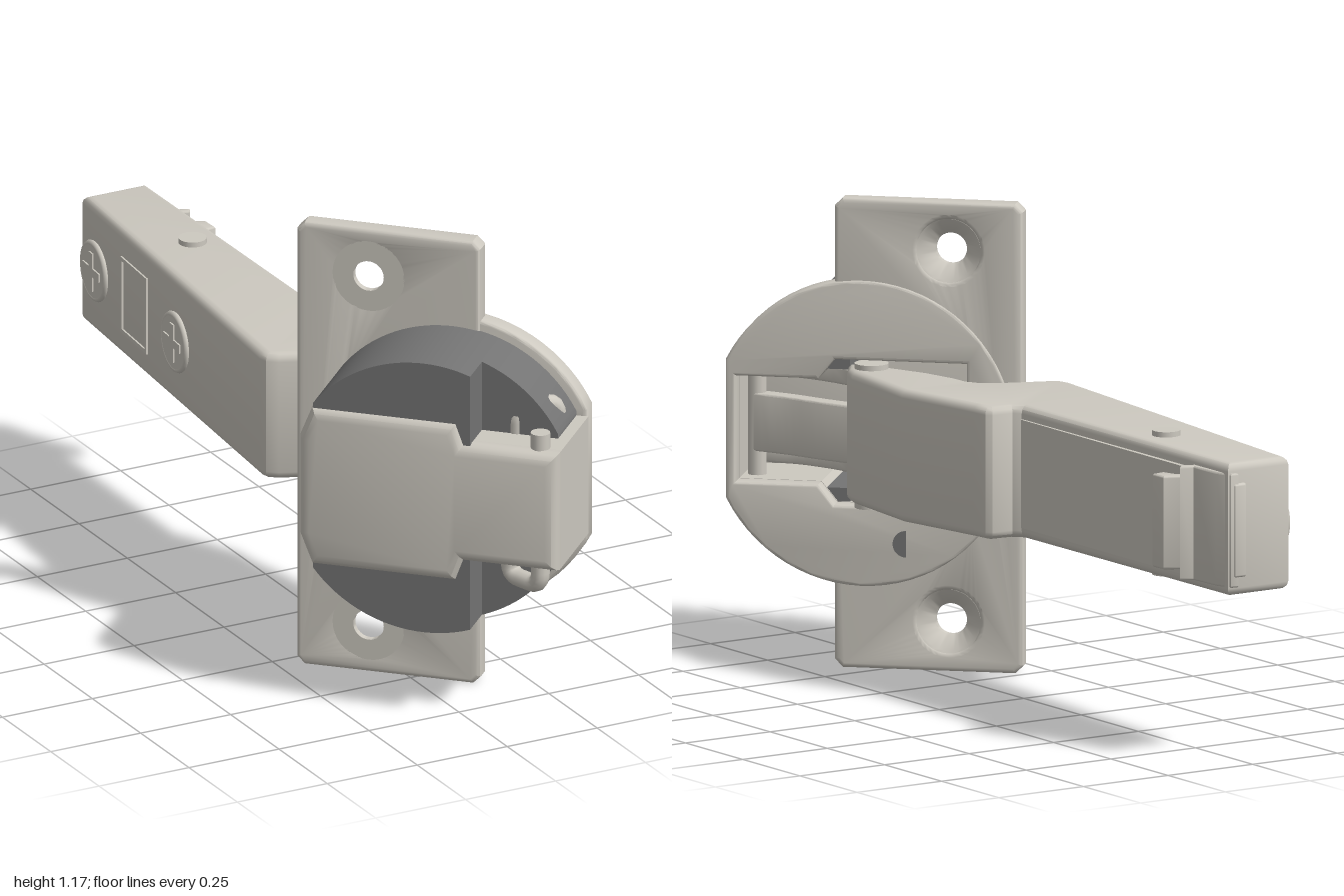
import * as THREE from 'three';
import { toCreasedNormals } from 'three/addons/utils/BufferGeometryUtils.js';

const steel = new THREE.MeshStandardMaterial({ color: 0xcdc9c0 });
const dark = new THREE.MeshStandardMaterial({ color: 0x747474 });
const MID = 0.587; // height of the mirror plane

const poly = pts => new THREE.Shape(pts.map(p => new THREE.Vector2(...p)));
// Outline given for the lower half, mirrored about the mid height
const mirrored = pts => poly([...pts, ...pts.map(([u, y]) => [u, 2 * MID - y]).reverse()]);

function add(parent, name, geometry, material = steel) {
  const mesh = new THREE.Mesh(geometry, material);
  mesh.name = name;
  parent.add(mesh);
  return mesh;
}

// Extrusion from depth a to b, with the bevel kept inside the outline
function slab(shape, a, b, bevel = 0) {
  const g = new THREE.ExtrudeGeometry(shape, {
    depth: b - a - 2 * bevel, bevelEnabled: bevel > 0, bevelThickness: bevel,
    bevelSize: bevel, bevelOffset: -bevel, bevelSegments: 3, curveSegments: 32,
  });
  g.translate(0, 0, a + bevel);
  return toCreasedNormals(g, 0.6);
}

// Extrusion along y of an outline listed as [x, z]
const upright = (pts, y0, y1, bevel) =>
  slab(poly(pts.map(([x, z]) => [x, -z])), y0, y1, bevel).rotateX(-Math.PI / 2);

function pin(parent, name, x, z, r, y0, y1) {
  const g = new THREE.CylinderGeometry(r, r, y1 - y0, 24);
  return add(parent, name, g.translate(x, (y0 + y1) / 2, z));
}

// Flat link following [x, z] points with a given thickness
function link(parent, name, pts, t, y0, y1) {
  const curve = new THREE.CatmullRomCurve3(pts.map(([x, z]) => new THREE.Vector3(x, 0, z)));
  const left = [], right = [];
  for (let i = 0; i <= 12; i++) {
    const p = curve.getPoint(i / 12), d = curve.getTangent(i / 12);
    left.push([p.x - d.z * t / 2, p.z + d.x * t / 2]);
    right.push([p.x + d.z * t / 2, p.z - d.x * t / 2]);
  }
  add(parent, name, upright([...left, ...right.reverse()], y0, y1, 0.005));
}

function wire(parent, name, pts, r) {
  const path = new THREE.CurvePath();
  const v = pts.map(p => new THREE.Vector3(...p));
  let from = v[0];
  for (let i = 1; i < v.length - 1; i++) {
    const a = v[i].clone().lerp(v[i - 1], Math.min(0.45, 0.035 / v[i].distanceTo(v[i - 1])));
    const b = v[i].clone().lerp(v[i + 1], Math.min(0.45, 0.035 / v[i].distanceTo(v[i + 1])));
    path.add(new THREE.LineCurve3(from, a));
    path.add(new THREE.QuadraticBezierCurve3(a, v[i], b));
    from = b;
  }
  path.add(new THREE.LineCurve3(from, v[v.length - 1]));
  add(parent, name, new THREE.TubeGeometry(path, 48, r, 12));
}

// Cup assembly: x runs along the plate, z is the depth of the cup
function buildCup() {
  const cup = new THREE.Group();
  cup.name = 'cupAssembly';
  cup.rotation.y = -Math.PI / 4;
  const cu = 0.46, R = 0.382, r = 0.356;
  const opening = () => mirrored([[0.2, 0.405], [0.53, 0.405], [0.57, 0.455], [0.775, 0.455]]);

  // Mounting plate with screw holes
  const plate = mirrored([[0.06, 0.02], [0.08, 0], [0.51, 0], [0.53, 0.02]]);
  plate.holes.push(opening().setPoints ? opening() : opening());
  plate.holes.pop();
  const half = poly([[0.06, 0.02], [0.08, 0], [0.51, 0], [0.53, 0.02], [0.53, 0.405],
    [0.2, 0.405], [0.2, 2 * MID - 0.405], [0.53, 2 * MID - 0.405], [0.53, 1.152],
    [0.51, 1.172], [0.08, 1.172], [0.06, 1.152]]);
  for (const y of [0.125, 1.05]) {
    half.holes.push(new THREE.Path().absarc(0.245, y, 0.078, 0, Math.PI * 2, true));
    const seat = new THREE.LatheGeometry([[0.08, 0.0], [0.074, 0.003], [0.042, 0.032], [0.039, 0.036],
      [0.039, 0.054], [0.092, 0.054]].map(p => new THREE.Vector2(...p)), 36);
    const m = add(cup, 'screwSeat', toCreasedNormals(seat.rotateX(Math.PI / 2), 0.5),
      new THREE.MeshStandardMaterial({ color: 0xcdc9c0, side: THREE.DoubleSide }));
    m.position.set(0.245, y, 0.296);
  }
  add(cup, 'mountingPlate', slab(half, 0.295, 0.35, 0.012));

  // Round flange, cut straight at the outer end
  const end = Math.asin(0.172 / R);
  const flange = new THREE.Shape().absarc(cu, MID, R, end, Math.PI * 2 - end, false);
  flange.holes.push(opening());
  add(cup, 'flange', slab(flange, 0.291, 0.344, 0.008));

  // Steel cup: hollow wall and floor
  const outline = () => mirrored([[0.142, 0.46], [0.175, 0.378], [0.545, 0.378], [0.565, 0.432], [0.805, 0.432]]);
  const wall = outline();
  wall.holes.push(opening());
  add(cup, 'cupWall', slab(wall, 0.34, 0.575));
  add(cup, 'cupFloor', slab(outline(), 0.54, 0.616, 0.03));

  // Dark housings above and below: deep part and shallow stepped part
  const segment = (u0, u1, y0) => {
    const pts = [];
    for (let i = 0; i <= 28; i++) {
      const u = u0 + (u1 - u0) * (1 - Math.cos(Math.PI * i / 28)) / 2;
      pts.push([u, MID + Math.sqrt(Math.max(0, r * r - (u - cu) ** 2))]);
    }
    return [[u0, y0], [u1, y0], ...pts.reverse()];
  };
  for (const s of [1, -1]) {
    const side = pts => poly(pts.map(([u, y]) => [u, s > 0 ? y : 2 * MID - y]));
    add(cup, 'deepHousing', slab(side(segment(0.178, 0.58, 0.79)), 0.344, 0.6), dark);
    add(cup, 'innerHousing', slab(side([[0.5, 0.735], [0.58, 0.735], [0.58, 0.8], [0.5, 0.8]]), 0.344, 0.6), dark);
    add(cup, 'shallowHousing', slab(side(segment(0.578, 0.775, 0.735)), 0.344, 0.5), dark);
  }
  // Adjuster slot on the back of the flange
  const mark = new THREE.Shape().absarc(0.35, 0.315, 0.033, -Math.PI / 2, Math.PI / 2, false);
  add(cup, 'flangeSlot', slab(mark, 0.288, 0.3), dark);
  return cup;
}

// Screws and window on the outer face of the arm
function buildFace(arm) {
  const face = new THREE.Group();
  face.name = 'adjustmentFace';
  face.position.set(-0.153, MID, -0.47);
  face.rotation.y = Math.atan2(-0.997, -0.082);
  for (const x of [-0.44, 0.055]) {
    const head = add(face, 'adjustingScrew',
      new THREE.CylinderGeometry(0.068, 0.072, 0.02, 32).rotateX(Math.PI / 2));
    head.position.set(x, 0, 0.002);
    add(face, 'screwRim', new THREE.TorusGeometry(0.07, 0.008, 8, 36)).position.set(x, 0, 0.005);
    for (const [w, h] of [[0.1, 0.022], [0.022, 0.1]])
      add(face, 'screwCross', new THREE.BoxGeometry(w, h, 0.01)).position.set(x, 0, 0.011);
  }
  for (const s of [-1, 1]) {
    add(face, 'windowRim', new THREE.BoxGeometry(0.01, 0.19, 0.012)).position.set(-0.2 + s * 0.075, 0, 0);
    add(face, 'windowRim', new THREE.BoxGeometry(0.16, 0.01, 0.012)).position.set(-0.2, s * 0.095, 0);
  }
  arm.add(face);
}

function buildArm() {
  const arm = new THREE.Group();
  arm.name = 'hingeArm';
  add(arm, 'armBody', upright([[-0.112, -0.99], [-0.2, 0.09], [-0.195, 0.115], [-0.17, 0.135],
    [-0.05, 0.185], [-0.015, 0.21], [0, 0.24], [0.002, 0.29], [0.02, 0.38], [0.065, 0.5], [0.1, 0.575], [0.125, 0.585],
    [0.165, 0.53], [0.178, 0.49], [0.206, 0.23], [0.163, -0.02], [0.158, -0.065], [0.145, -0.078],
    [0.09, -0.083], [0.074, -0.1], [0.066, -0.99]], 0.423, 0.755, 0.02));
  // Inset cover on the inner face
  const cover = add(arm, 'armCover', new THREE.BoxGeometry(0.012, 0.27, 0.74));
  cover.position.set(0.074, MID, -0.475);
  // Release latch at the rear
  add(arm, 'latch', upright([[0.01, -0.985], [0.02, -1], [0.05, -1], [0.066, -0.975], [0.07, -0.87],
    [0.1, -0.835], [0.138, -0.815], [0.14, -0.77], [0.105, -0.765], [0.095, -0.8], [0.05, -0.85]], 0.47, 0.704, 0.006));
  add(arm, 'latchPad', upright([[0.04, -0.998], [0.06, -0.995], [0.075, -0.95], [0.08, -0.86],
    [0.11, -0.845], [0.1, -0.83], [0.04, -0.85]], 0.445, 0.73, 0.005));
  pin(arm, 'rearRivet', -0.015, -0.6, 0.035, 0.408, 0.768);
  pin(arm, 'pivotRivet', 0.112, 0.5, 0.042, 0.408, 0.768);
  buildFace(arm);
  return arm;
}

export function createModel() {
  const model = new THREE.Group();
  model.name = 'cabinetHinge';
  model.add(buildCup(), buildArm());
  // Links between arm and cup
  link(model, 'innerLink', [[0.12, 0.5], [0.17, 0.63], [0.2, 0.72], [0.24, 0.81]], 0.045, 0.515, 0.66);
  for (const [y0, y1] of [[0.458, 0.5], [0.674, 0.716]])
    link(model, 'outerLink', [[0.06, 0.48], [0.03, 0.65], [0.07, 0.82], [0.13, 0.92]], 0.05, y0, y1);
  // Bent wire pins holding the links
  wire(model, 'upperWire', [[0.24, 0.39, 0.81], [0.24, 0.8, 0.81], [0.13, 0.8, 0.81], [0.13, 0.73, 0.81]], 0.023);
  wire(model, 'lowerWire', [[0.13, 0.775, 0.93], [0.13, 0.375, 0.93], [0.1, 0.375, 0.83], [0.1, 0.44, 0.83]], 0.023);
  pin(model, 'wireEnd', 0.13, 0.93, 0.024, 0.72, 0.782);
  pin(model, 'wireEnd', 0.24, 0.81, 0.024, 0.39, 0.45);
  return model;
}
